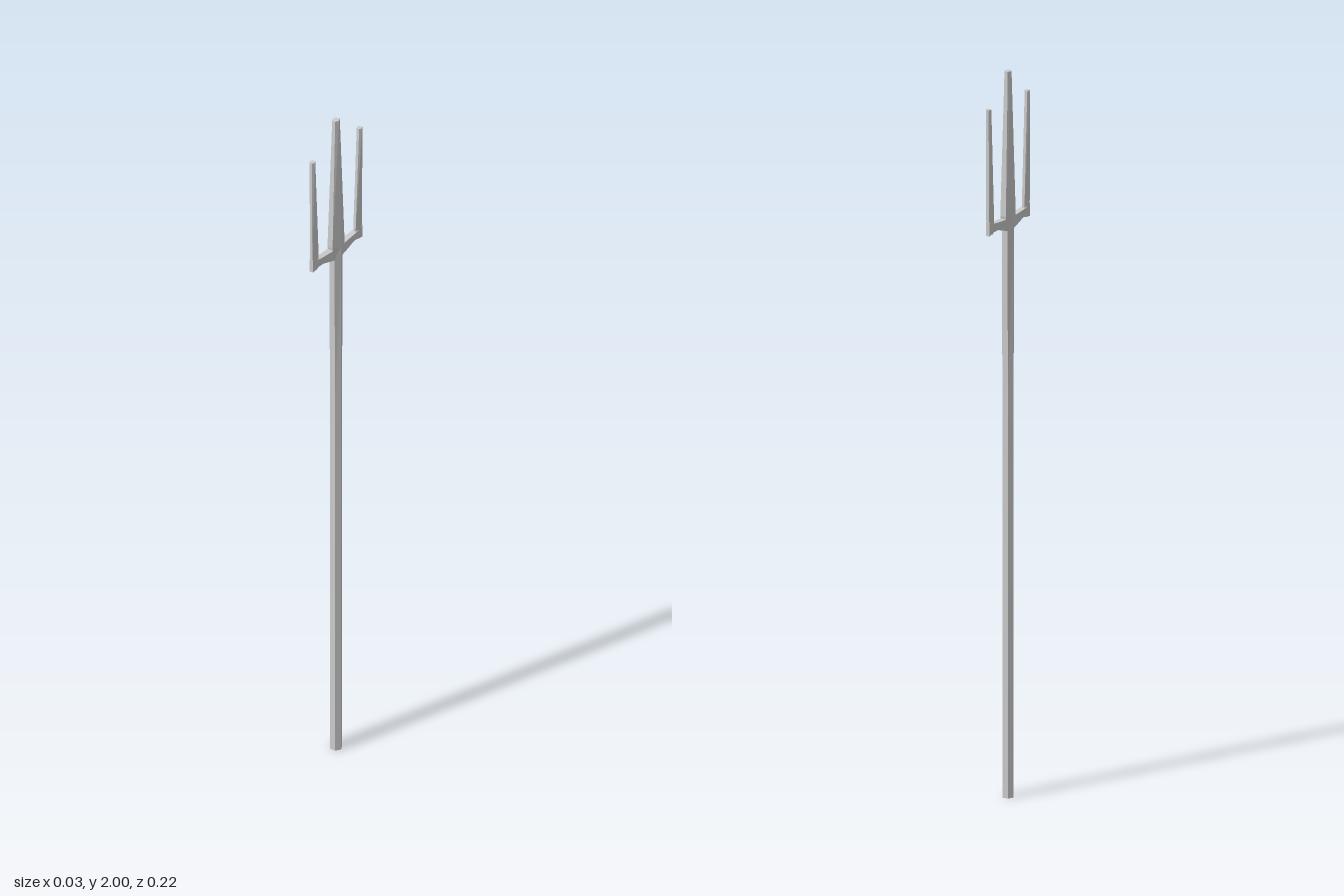
import * as THREE from 'three';

const material = new THREE.MeshStandardMaterial({ color: 0xcccccc, flatShading: true });

// Skin a list of equal-sized rings (counter-clockwise seen from the last ring's end) and cap both ends.
function loft(name, rings) {
  const pos = [];
  const tri = (...pts) => pts.forEach((p) => pos.push(...p));
  const n = rings[0].length;
  for (let i = 0; i < rings.length - 1; i++) {
    for (let j = 0; j < n; j++) {
      const k = (j + 1) % n;
      const [a, b, c, d] = [rings[i][j], rings[i][k], rings[i + 1][k], rings[i + 1][j]];
      tri(a, b, c);
      tri(a, c, d);
    }
  }
  const first = rings[0], last = rings[rings.length - 1];
  for (let j = 1; j < n - 1; j++) {
    tri(first[0], first[j + 1], first[j]);
    tri(last[0], last[j], last[j + 1]);
  }
  const geometry = new THREE.BufferGeometry();
  geometry.setAttribute('position', new THREE.Float32BufferAttribute(pos, 3));
  geometry.computeVertexNormals();
  const mesh = new THREE.Mesh(geometry, material);
  mesh.name = name;
  return mesh;
}

// Horizontal hexagon with corners on the x axis.
const hexRing = (y, z, hx, hz) =>
  [[1, 0], [0.5, -1], [-0.5, -1], [-1, 0], [-0.5, 1], [0.5, 1]]
    .map(([u, v]) => [u * hx, y, z + v * hz]);

// Upright rectangle across the bar.
const barRing = (z, bottom, top, hx) =>
  [[hx, bottom], [hx, top], [-hx, top], [-hx, bottom]].map(([x, y]) => [x, y, z]);

export function createModel() {
  const model = new THREE.Group();
  model.name = 'trident';

  // Six-sided pole, flaring slightly towards the head
  model.add(loft('shaft', [
    hexRing(0, 0, 0.017, 0.015),
    hexRing(1.13, 0, 0.017, 0.015),
    hexRing(1.565, 0, 0.017, 0.018),
  ]));

  // Middle prong: widest at the crossbar, tapering to a blunt tip
  model.add(loft('centreTine', [
    hexRing(1.565, 0, 0.017, 0.018),
    hexRing(1.605, 0, 0.017, 0.026),
    hexRing(2, 0, 0.01, 0.01),
  ]));

  // Crossbar arm and outer prong, turned half round for the other side
  for (const [side, angle] of [['front', 0], ['back', Math.PI]]) {
    const arm = new THREE.Group();
    arm.name = side + 'Arm';
    arm.rotation.y = angle;
    arm.add(loft(side + 'Crossbar', [
      barRing(0.01, 1.563, 1.598, 0.009),
      barRing(0.03, 1.568, 1.598, 0.009),
      barRing(0.065, 1.579, 1.6, 0.008),
      barRing(0.085, 1.579, 1.602, 0.007),
      barRing(0.107, 1.572, 1.61, 0.006),
    ]));
    arm.add(loft(side + 'Tine', [
      hexRing(1.575, 0.095, 0.008, 0.012),
      hexRing(1.605, 0.094, 0.008, 0.014),
      hexRing(1.92, 0.102, 0.008, 0.007),
    ]));
    model.add(arm);
  }
  return model;
}
